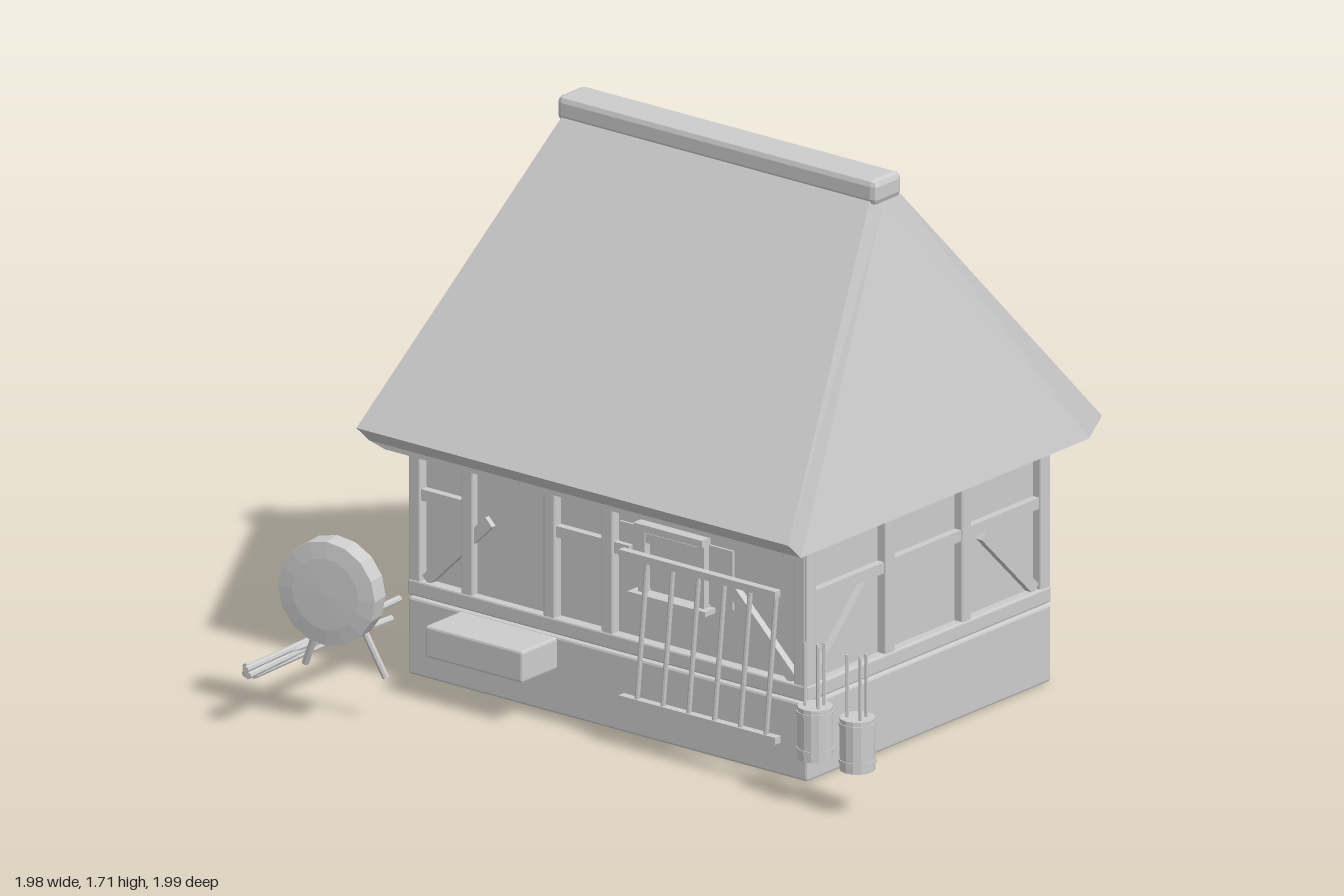
import * as THREE from 'three';
import { RoundedBoxGeometry } from 'three/addons/geometries/RoundedBoxGeometry.js';

const CX = -0.117, CZ = -0.262; // house centre
const stone = new THREE.MeshStandardMaterial({ color: 0xcccccc });
stone.name = 'plainGrey';
stone.flatShading = true;

function add(parent, name, geo, x = 0, y = 0, z = 0) {
  const m = new THREE.Mesh(geo, stone);
  m.name = name;
  m.position.set(x, y, z);
  parent.add(m);
  return m;
}

// box given by its limits, with a small chamfer when bevel > 0
function block(parent, name, x0, x1, y0, y1, z0, z1, bevel = 0) {
  const s = [x1 - x0, y1 - y0, z1 - z0];
  const geo = bevel ? new RoundedBoxGeometry(...s, 1, bevel) : new THREE.BoxGeometry(...s);
  return add(parent, name, geo, (x0 + x1) / 2, (y0 + y1) / 2, (z0 + z1) / 2);
}

// round rod between two points
function rod(parent, name, a, b, r, sides = 8) {
  const p = new THREE.Vector3(...a), q = new THREE.Vector3(...b);
  const d = q.clone().sub(p);
  const m = add(parent, name, new THREE.CylinderGeometry(r, r, d.length(), sides));
  m.position.copy(p).add(q).multiplyScalar(0.5);
  m.quaternion.setFromUnitVectors(new THREE.Vector3(0, 1, 0), d.normalize());
  return m;
}

// diagonal brace lying in a wall plane
function brace(parent, x0, y0, x1, y1, z) {
  const len = Math.hypot(x1 - x0, y1 - y0);
  const m = add(parent, 'brace', new THREE.BoxGeometry(len, 0.036, 0.03), (x0 + x1) / 2, (y0 + y1) / 2, z);
  m.rotation.z = Math.atan2(y1 - y0, x1 - x0);
}

// timber frame of one wall: local x along the wall, local z outwards
function timberWall(name, half, out, turn, posts, rails) {
  const g = new THREE.Group();
  g.name = name;
  for (const u of posts) block(g, 'post', u - 0.022, u + 0.022, 0.29, 0.745, out - 0.045, out, 0.005);
  block(g, 'sillBeam', -half, half, 0.25, 0.3, out - 0.045, out + 0.003, 0.006);
  block(g, 'topPlate', -half + 0.02, half - 0.02, 0.71, 0.745, out - 0.045, out - 0.008);
  for (const [a, b] of rails) block(g, 'midRail', a, b, 0.552, 0.587, out - 0.04, out - 0.006);
  for (const s of [-1, 1]) brace(g, s * (half - 0.06), 0.305, s * (half - 0.3), 0.54, out - 0.022);
  g.position.set(CX, 0, CZ);
  g.rotation.y = turn;
  return g;
}

// hipped roof: front and hip faces, then the same turned by half a circle
function roofGeometry() {
  const X = 0.82, Xi = 0.76, T = 0.585, Z = 0.735, Zi = 0.675, t = 0.065;
  const e = 0.8, l = 0.745, b = 0.73, top = 1.64, apex = 1.62;
  const faces = [
    [[-X, e, Z], [X, e, Z], [T, top, t], [-T, top, t]],
    [[-X, l, Zi], [X, l, Zi], [X, e, Z], [-X, e, Z]],
    [[-X, l, Zi], [-Xi, b, Zi], [Xi, b, Zi], [X, l, Zi]],
    [[X, e, Z], [X, l, Zi], [T, apex, 0], [T, top, t]],
    [[X, l, -Zi], [X, e, -Z], [T, top, -t], [T, apex, 0]],
    [[X, l, Zi], [X, l, -Zi], [T, apex, 0]],
    [[Xi, b, -Zi], [X, l, -Zi], [X, l, Zi], [Xi, b, Zi]],
    [[0, b, -Zi], [Xi, b, -Zi], [Xi, b, Zi], [0, b, Zi]],
  ];
  const pos = [];
  for (const s of [1, -1])
    for (const f of faces)
      for (let i = 1; i < f.length - 1; i++)
        for (const p of [f[0], f[i], f[i + 1]]) pos.push(s * p[0], p[1], s * p[2]);
  const geo = new THREE.BufferGeometry();
  geo.setAttribute('position', new THREE.Float32BufferAttribute(pos, 3));
  geo.computeVertexNormals();
  return geo;
}

function buildHouse() {
  const g = new THREE.Group();
  g.name = 'house';
  block(g, 'foundation', -0.875, 0.64, 0, 0.243, -0.835, 0.308, 0.008);
  block(g, 'wallCore', -0.845, 0.61, 0.235, 0.74, -0.805, 0.278);
  const H = 0.757, D = 0.571, q = Math.PI / 2;
  const sidePosts = [-0.547, -0.18, 0.18, 0.547];
  g.add(timberWall('frontTimbers', H, D, 0, [-0.735, -0.535, -0.223, -0.003, 0.727], [[-0.735, -0.535], [-0.223, 0.077]]));
  g.add(timberWall('backTimbers', H, D, 2 * q, [-0.735, -0.43, -0.055, 0.335, 0.735], [[-0.735, 0.735]]));
  g.add(timberWall('leftTimbers', D, H, q, sidePosts, [[-0.547, 0.547]]));
  g.add(timberWall('rightTimbers', D, H, -q, sidePosts, [[-0.547, 0.547]]));
  add(g, 'roof', roofGeometry(), -0.12, 0, -0.265);
  block(g, 'ridgeCap', -0.727, 0.487, 1.625, 1.705, -0.33, -0.2, 0.02);

  // door and window
  block(g, 'door', -0.63, -0.36, 0.3, 0.73, 0.277, 0.285);
  block(g, 'windowPanel', -0.09, 0.34, 0.465, 0.65, 0.277, 0.286);
  block(g, 'windowLintel', -0.01, 0.25, 0.65, 0.672, 0.28, 0.32);
  block(g, 'windowSill', -0.025, 0.27, 0.44, 0.456, 0.28, 0.33);
  block(g, 'windowRail', 0, 0.25, 0.612, 0.642, 0.28, 0.305);
  for (const x of [0, 0.225]) block(g, 'windowJamb', x, x + 0.025, 0.456, 0.65, 0.28, 0.31);
  block(g, 'doorStep', -0.68, -0.31, 0.14, 0.24, 0.3, 0.47, 0.008);
  return g;
}

// rack of slanted bars between two rails
function buildRack() {
  const g = new THREE.Group();
  g.name = 'rack';
  block(g, 'topRail', 0.015, 0.61, 0.598, 0.621, 0.395, 0.42);
  block(g, 'bottomRail', 0.015, 0.61, 0.142, 0.164, 0.395, 0.42);
  for (let i = 0; i < 6; i++) {
    const x = 0.075 + i * 0.098;
    rod(g, 'rackBar', [x, 0.15, 0.408], [x + 0.04, 0.612, 0.408], 0.008);
  }
  return g;
}

// tub with bands and thin rods standing in it
function buildTub(x) {
  const g = new THREE.Group();
  g.name = 'tub';
  g.position.set(x, 0, 0.43);
  add(g, 'tubBody', new THREE.CylinderGeometry(0.053, 0.053, 0.163, 14), 0, 0.223, 0);
  for (const y of [0.17, 0.285]) {
    add(g, 'tubBand', new THREE.CylinderGeometry(0.056, 0.056, 0.012, 14), 0, y, 0);
  }
  for (const [rx, rz] of [[-0.024, 0.018], [0.018, -0.02], [0.026, 0.018], [0.014, 0.005]])
    rod(g, 'standingRod', [rx, 0.29, rz], [rx, 0.5, rz], 0.005, 6);
  return g;
}

// round target on splayed legs
function buildTarget() {
  const g = new THREE.Group();
  g.name = 'target';
  const profile = [[0, -0.037], [0.163, -0.037], [0.163, 0.03], [0.112, 0.037], [0, 0.04]];
  const disc = add(g, 'targetDisc', new THREE.LatheGeometry(profile.map((p) => new THREE.Vector2(...p)), 16), -0.76, 0.425, 0.81);
  disc.rotation.set(Math.PI / 2, 0, -0.18, 'XYZ');
  const apex = [-0.775, 0.47, 0.765];
  rod(g, 'targetLeg', apex, [-0.915, 0.145, 0.74], 0.011);
  rod(g, 'targetLeg', apex, [-0.65, 0.145, 0.69], 0.011);
  return g;
}

// loose poles lying over each other
function buildPoles() {
  const g = new THREE.Group();
  g.name = 'poles';
  for (const [x0, z0, x1, z1, y] of [
    [-0.98, 0.22, -0.94, 0.99, 0.187],
    [-0.945, 0.3, -0.975, 0.95, 0.155],
    [-0.965, 0.35, -0.94, 0.95, 0.158],
    [-0.935, 0.5, -0.965, 0.96, 0.182],
    [-0.975, 0.4, -0.93, 0.99, 0.17],
  ]) rod(g, 'pole', [x0, y, z0], [x1, y, z1], 0.011);
  return g;
}

export function createModel() {
  const model = new THREE.Group();
  model.name = 'cottage';
  model.add(buildHouse(), buildRack(), buildTub(0.77), buildTub(0.93), buildTarget(), buildPoles());
  return model;
}
